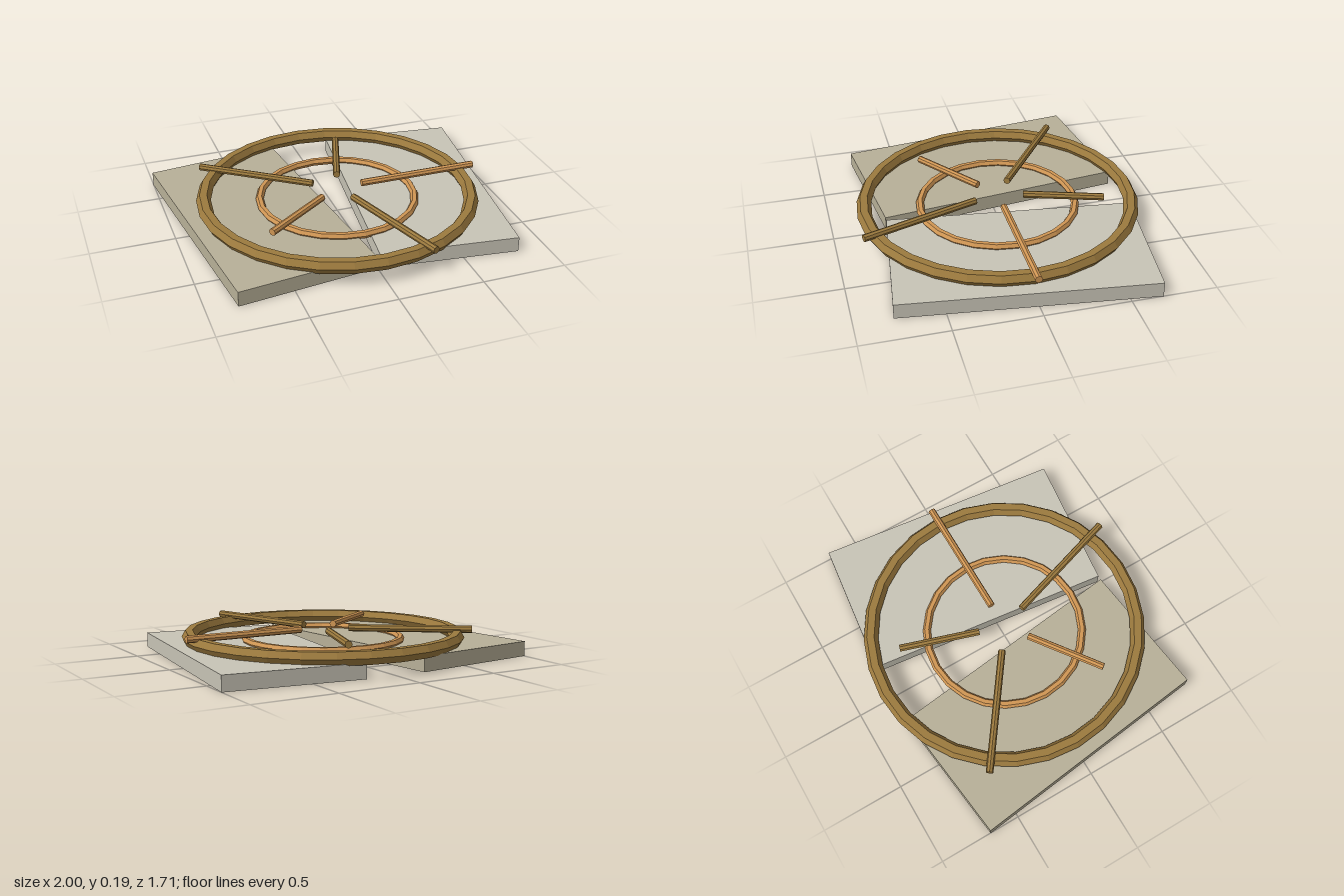
import * as THREE from 'three';

export function createModel() {
  const model = new THREE.Group();
  const mat = (color) => new THREE.MeshStandardMaterial({ color, flatShading: true });
  const bronze = mat(0x9c7a3e);
  const copper = mat(0xd09654);

  const add = (name, geometry, material, parent = model) => {
    const mesh = new THREE.Mesh(geometry, material);
    mesh.name = name;
    parent.add(mesh);
    return mesh;
  };

  // Two flat slabs, splayed so the gap between them widens to the back
  const slabGeo = new THREE.BoxGeometry(0.818, 0.09, 1.475);
  for (const side of [1, -1]) {
    const slab = add(side > 0 ? 'leftSlab' : 'rightSlab', slabGeo, mat(side > 0 ? 0xc8c4b6 : 0xb8b098));
    slab.position.set(side * 0.507, 0.045, 0);
    slab.rotation.y = -side * 0.12;
  }

  // Two concentric hexagonal-section rings lying flat
  const ring = (name, radius, tube, segments, y, material) => {
    const geo = new THREE.TorusGeometry(radius, tube, 6, segments).rotateX(-Math.PI / 2);
    add(name, geo, material).position.y = y;
  };
  ring('outerRing', 0.806, 0.044, 28, 0.12, bronze);
  ring('innerRing', 0.47, 0.024, 24, 0.1, copper);

  // Five radial rods, alternating long and short
  const spokes = new THREE.Group();
  spokes.name = 'spokes';
  model.add(spokes);
  const inner = 0.155;
  for (let i = 0; i < 5; i++) {
    const outer = i % 2 === 0 ? 0.895 : 0.64;
    const geo = new THREE.CylinderGeometry(0.022, 0.022, outer - inner, 8)
      .rotateZ(-Math.PI / 2)
      .translate((inner + outer) / 2, 0.163, 0)
      .rotateY((i * Math.PI * 2) / 5);
    add('spoke' + (i + 1), geo, i % 3 === 0 ? copper : bronze, spokes);
  }

  return model;
}
